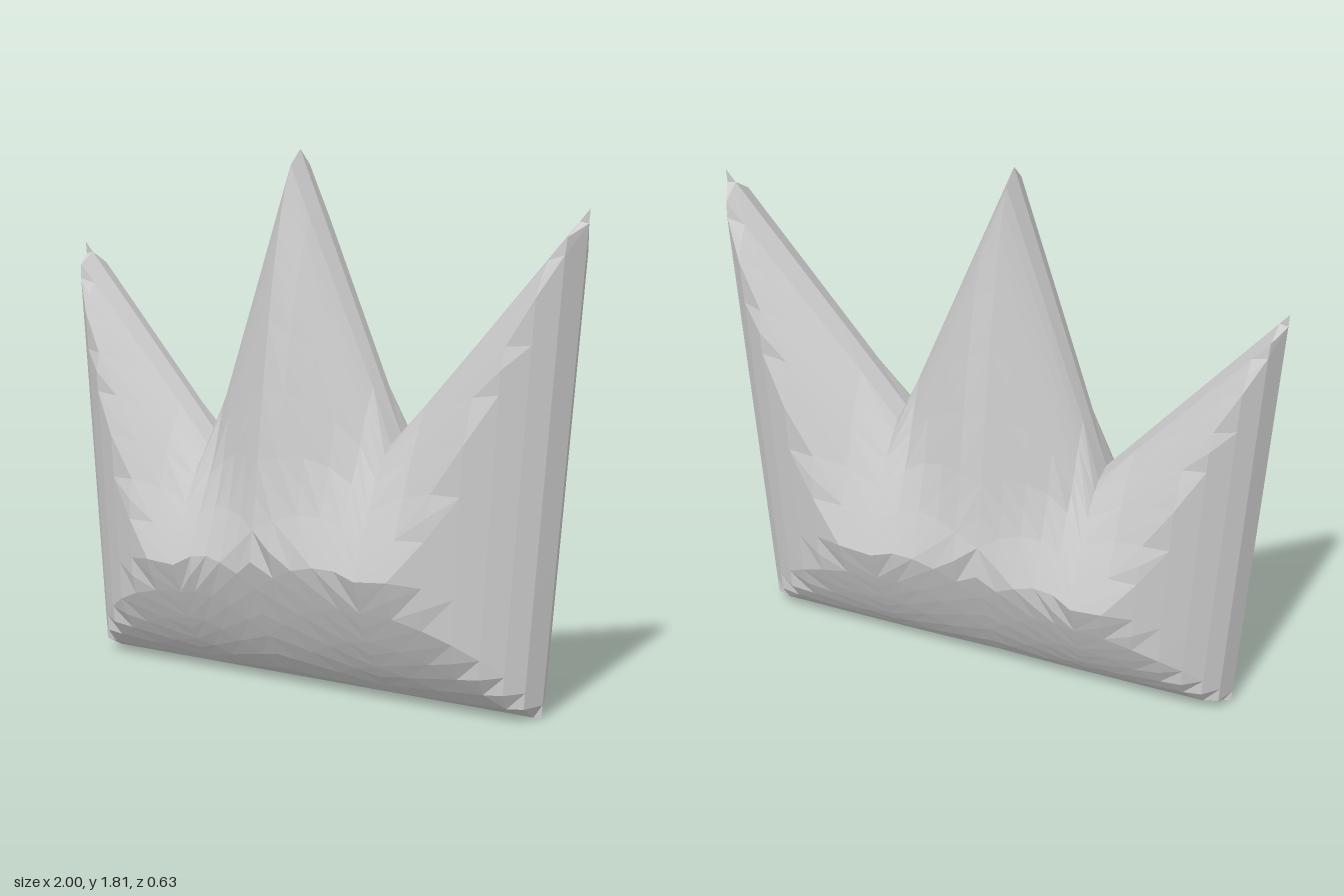
import * as THREE from 'three';

// Crown outline: the base edge, the sloped sides and the zigzag top
const TOP = [[-1, 1.47], [-0.41, 0.81], [-0.07, 1.81], [0.33, 0.88], [1, 1.64]];
const BASE = [[-0.89, 0], [-0.4, 0], [-0.07, 0], [0.33, 0], [0.86, 0]];
const OUTLINE = [BASE[0], BASE[4], ...[...TOP].reverse()];
const STEPS = [7, 5, 5, 7]; // columns between neighbouring outline points
const ROWS = 20;

const mix = (a, b, t) => [a[0] + (b[0] - a[0]) * t, a[1] + (b[1] - a[1]) * t];

// Distance from a point to the nearest outline edge
function edgeDistance([x, y]) {
  let best = Infinity;
  OUTLINE.forEach((a, i) => {
    const b = OUTLINE[(i + 1) % OUTLINE.length];
    const dx = b[0] - a[0], dy = b[1] - a[1];
    const t = THREE.MathUtils.clamp(((x - a[0]) * dx + (y - a[1]) * dy) / (dx * dx + dy * dy), 0, 1);
    best = Math.min(best, Math.hypot(x - a[0] - dx * t, y - a[1] - dy * t));
  });
  return best;
}

// Columns from base to top, packed closer towards the two outer sides
function makeColumns() {
  const columns = [];
  STEPS.forEach((n, s) => {
    for (let k = s === 0 ? 0 : 1; k <= n; k++) {
      let t = k / n;
      if (s === 0) t = t ** 1.5;
      if (s === STEPS.length - 1) t = 1 - (1 - t) ** 1.5;
      columns.push([mix(BASE[s], BASE[s + 1], t), mix(TOP[s], TOP[s + 1], t)]);
    }
  });
  return columns;
}

// One puffed face; side is +1 for the front and -1 for the back
function puffedFace(side) {
  const columns = makeColumns();
  const positions = [], index = [];
  columns.forEach(([low, high], i) => {
    for (let j = 0; j <= ROWS; j++) {
      // Rows are packed closer towards the rim
      const t = j / ROWS;
      const v = 0.5 * t + 0.5 * (1 - Math.cos(Math.PI * t)) / 2;
      const p = mix(low, high, v);
      const rim = i === 0 || i === columns.length - 1 || j === 0 || j === ROWS;
      positions.push(p[0], p[1], rim ? 0 : side * Math.sqrt(0.2 * edgeDistance(p)));
    }
  });
  const tri = (a, b, c) => (side > 0 ? index.push(a, b, c) : index.push(a, c, b));
  for (let i = 0; i < columns.length - 1; i++) {
    for (let j = 0; j < ROWS; j++) {
      const a = i * (ROWS + 1) + j, b = a + ROWS + 1, c = b + 1, d = a + 1;
      // Alternate diagonals give the irregular facets
      if ((i + j) % 2) { tri(a, b, c); tri(a, c, d); }
      else { tri(a, b, d); tri(b, c, d); }
    }
  }
  const geometry = new THREE.BufferGeometry();
  geometry.setAttribute('position', new THREE.Float32BufferAttribute(positions, 3));
  geometry.setIndex(index);
  geometry.computeVertexNormals();
  return geometry;
}

export function createModel() {
  const group = new THREE.Group();
  group.name = 'crown';
  const material = new THREE.MeshStandardMaterial({ color: 0xcccccc, flatShading: true });
  for (const [name, side] of [['crownFront', 1], ['crownBack', -1]]) {
    const mesh = new THREE.Mesh(puffedFace(side), material);
    mesh.name = name;
    group.add(mesh);
  }
  return group;
}
